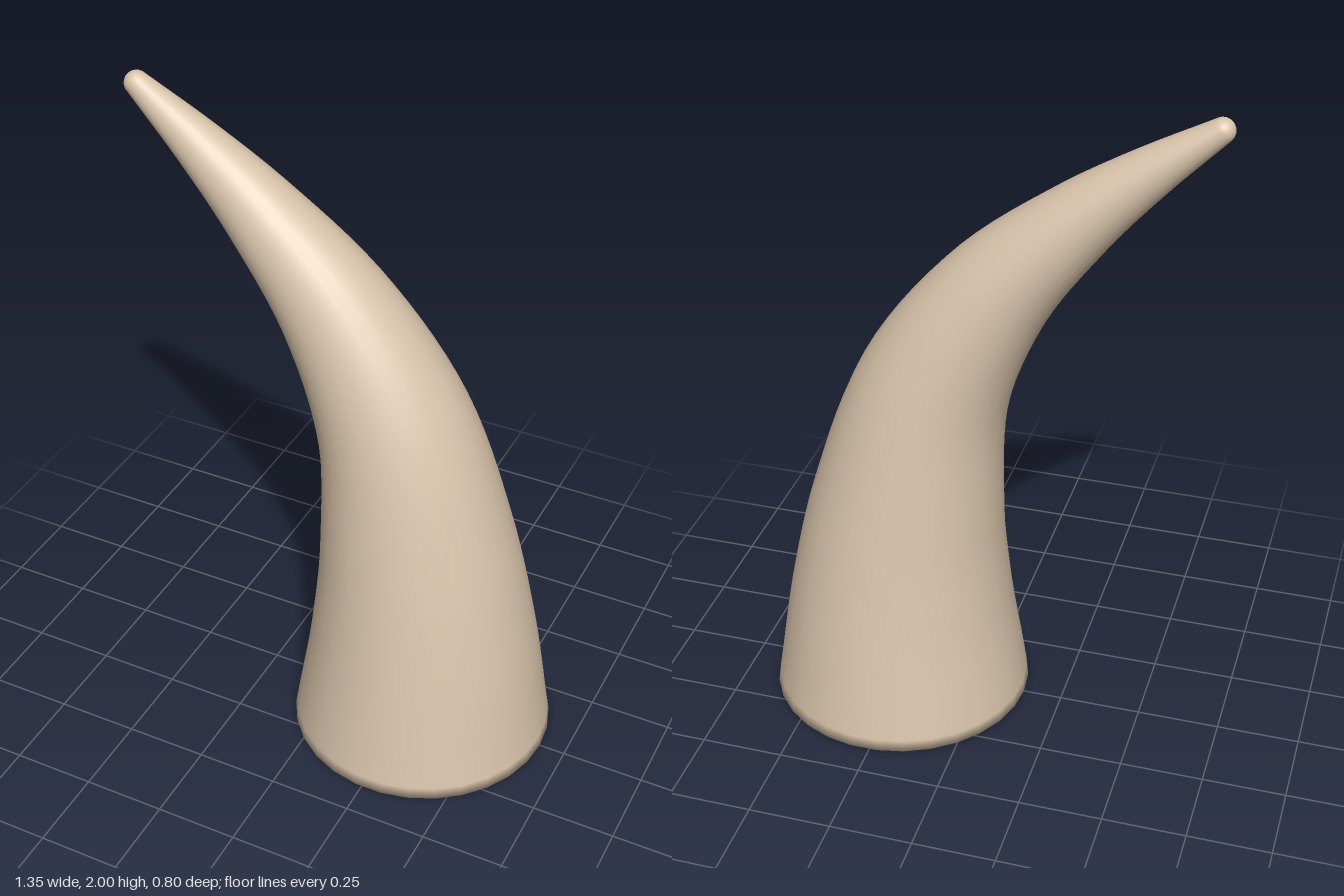
import * as THREE from 'three';

const SIDES = 30;

// Skin a list of rings { c: centre, t: axis direction in the xy plane, r: radius }
function skin(rings) {
  const positions = [], index = [];
  rings.forEach(({ c, t, r }, i) => {
    for (let j = 0; j < SIDES; j++) {
      const a = (j / SIDES) * Math.PI * 2;
      const across = Math.cos(a) * r;
      positions.push(c.x + t.y * across, c.y - t.x * across, Math.sin(a) * r);
      if (i === rings.length - 1) continue;
      const k = (j + 1) % SIDES;
      const p = i * SIDES + j, q = i * SIDES + k;
      index.push(p, p + SIDES, q, q, p + SIDES, q + SIDES);
    }
  });
  const geometry = new THREE.BufferGeometry();
  geometry.setAttribute('position', new THREE.Float32BufferAttribute(positions, 3));
  geometry.setIndex(index);
  geometry.computeVertexNormals();
  return geometry;
}

export function createModel() {
  const group = new THREE.Group();
  group.name = 'horn';

  const hornTan = new THREE.MeshStandardMaterial({ color: 0xd9c4ab });
  hornTan.name = 'hornTan';

  // Centre line, bending towards -x
  const path = new THREE.CatmullRomCurve3([
    [0.27, 0], [0.267, 0.33], [0.24, 0.66], [0.155, 1.07],
    [-0.025, 1.4], [-0.26, 1.655], [-0.45, 1.82], [-0.64, 1.965],
  ].map(([x, y]) => new THREE.Vector3(x, y, 0)));
  const up = new THREE.Vector3(0, 1, 0);
  const base = path.getPointAt(0);
  const BASE_R = 0.4, TIP_R = 0.036;

  // Flat underside, out to the softly shaded rim
  const rings = [0.0001, 0.34, BASE_R].map((r) => ({ c: base, t: up, r }));

  // Tapering body
  const ROWS = 40;
  for (let i = 0; i <= ROWS; i++) {
    const u = i === 0 ? 0.015 : i / ROWS;
    rings.push({
      c: path.getPointAt(u),
      t: path.getTangentAt(u),
      r: THREE.MathUtils.lerp(BASE_R, TIP_R, u),
    });
  }

  // Rounded tip
  const end = path.getPointAt(1), dir = path.getTangentAt(1);
  for (let i = 1; i <= 6; i++) {
    const a = (i / 6) * Math.PI / 2;
    rings.push({
      c: end.clone().addScaledVector(dir, Math.sin(a) * TIP_R),
      t: dir,
      r: Math.max(Math.cos(a) * TIP_R, 0.0001),
    });
  }

  const horn = new THREE.Mesh(skin(rings), hornTan);
  horn.name = 'hornBody';
  group.add(horn);
  return group;
}
